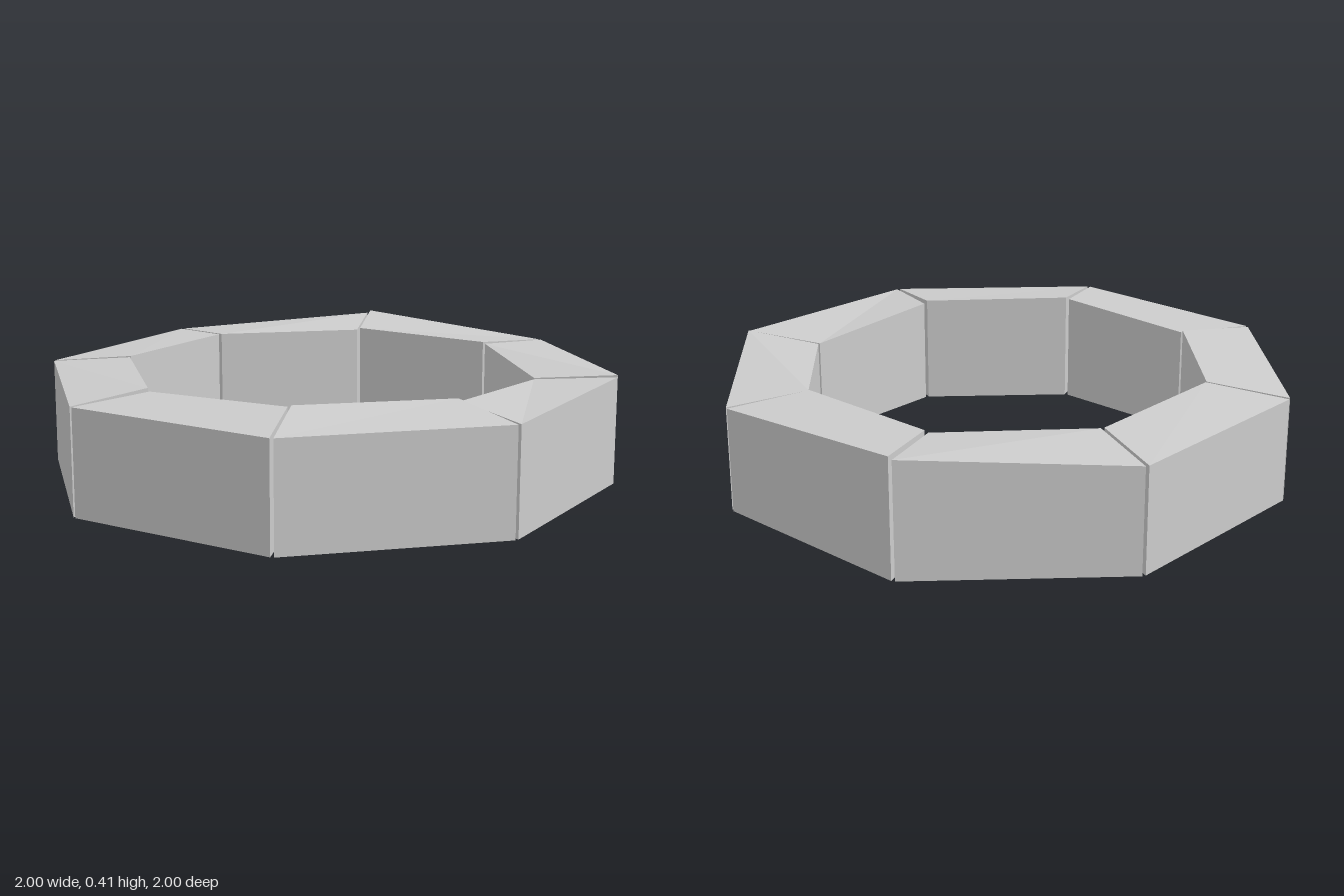
import * as THREE from 'three';

const COUNT = 8;
const OUTER = 1;
const INNER = 0.717;
const HALF_GAP = 0.006;

// Top heights of each stone: outer start, outer end, inner start, inner end
const HEIGHTS = [
  [0.365, 0.375, 0.385, 0.358],
  [0.38, 0.365, 0.36, 0.38],
  [0.365, 0.41, 0.385, 0.387],
  [0.4, 0.365, 0.38, 0.385],
  [0.365, 0.365, 0.385, 0.39],
  [0.365, 0.365, 0.388, 0.39],
  [0.365, 0.365, 0.38, 0.395],
  [0.365, 0.365, 0.4, 0.395],
];

// A box whose corners are moved onto one wedge of the ring
function stoneGeometry(index, heights) {
  const geometry = new THREE.BoxGeometry(1, 1, 1);
  const pos = geometry.attributes.position;
  for (let i = 0; i < pos.count; i++) {
    const end = pos.getX(i) > 0 ? 1 : 0;
    const inner = pos.getZ(i) > 0 ? 0 : 1;
    const top = pos.getY(i) > 0;
    const angle = ((index + end) * Math.PI * 2) / COUNT;
    const radius = inner ? INNER : OUTER;
    const shift = end ? -HALF_GAP : HALF_GAP;
    pos.setXYZ(
      i,
      radius * Math.sin(angle) + shift * Math.cos(angle),
      top ? heights[inner * 2 + end] : 0,
      radius * Math.cos(angle) - shift * Math.sin(angle)
    );
  }
  geometry.computeVertexNormals();
  return geometry;
}

export function createModel() {
  const ring = new THREE.Group();
  ring.name = 'stoneRing';
  const material = new THREE.MeshStandardMaterial({ color: 0xcccccc, flatShading: true });

  // Eight separate stones with slightly uneven, sloping tops
  HEIGHTS.forEach((heights, i) => {
    const stone = new THREE.Mesh(stoneGeometry(i, heights), material);
    stone.name = `stone${i + 1}`;
    ring.add(stone);
  });
  return ring;
}
